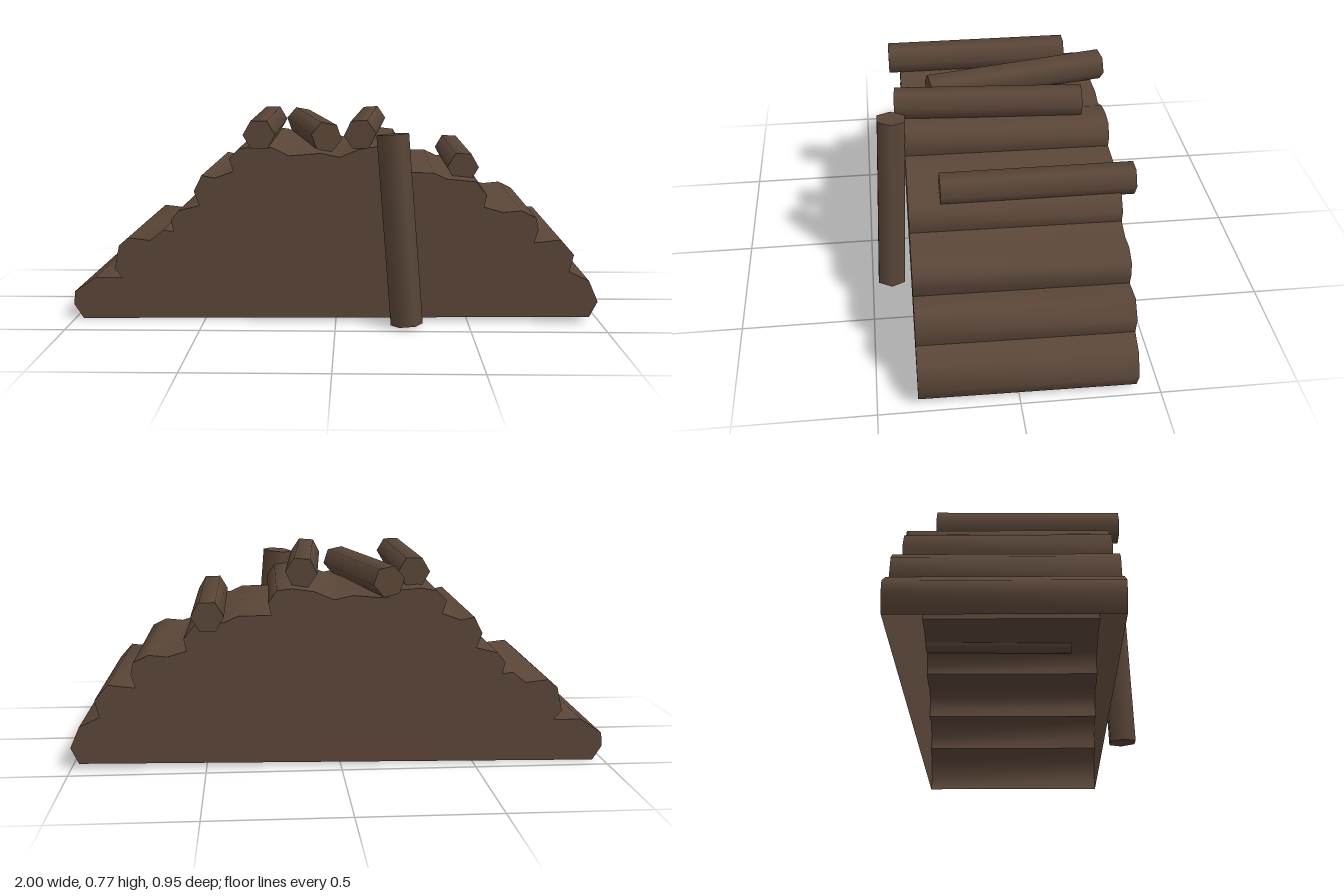
import * as THREE from 'three';
import { toCreasedNormals } from 'three/addons/utils/BufferGeometryUtils.js';

export function createModel() {
  const model = new THREE.Group();
  model.name = 'logPile';
  const bark = new THREE.MeshStandardMaterial({ color: 0x5a4638, side: THREE.DoubleSide });
  bark.name = 'brown bark';

  // Scalloped outline of the stacked logs, from left foot over the top to right foot
  const outline = [
    [-0.965, 0.005], [-1, 0.06], [-0.995, 0.11], [-0.915, 0.165], [-0.81, 0.165],
    [-0.84, 0.2], [-0.82, 0.29], [-0.785, 0.32], [-0.7, 0.31], [-0.65, 0.35], [-0.61, 0.345],
    [-0.62, 0.39], [-0.59, 0.425], [-0.51, 0.445], [-0.53, 0.5], [-0.5, 0.56], [-0.45, 0.55],
    [-0.38, 0.575], [-0.395, 0.625], [-0.36, 0.66], [-0.3, 0.67], [-0.23, 0.665], [-0.17, 0.635],
    [-0.05, 0.645], [0.02, 0.63], [0.09, 0.66], [0.17, 0.672], [0.23, 0.665], [0.26, 0.62],
    [0.25, 0.575], [0.37, 0.573], [0.42, 0.55], [0.53, 0.54], [0.57, 0.49], [0.56, 0.445],
    [0.63, 0.425], [0.7, 0.432], [0.755, 0.405], [0.765, 0.36], [0.75, 0.31], [0.85, 0.322],
    [0.9, 0.265], [0.885, 0.2], [0.96, 0.165], [0.995, 0.085], [0.965, 0.025],
  ];
  const halfDepth = 0.387;

  const pile = new THREE.Group();
  pile.name = 'pile';
  pile.position.z = -0.0425;
  pile.rotation.y = -0.0125;
  model.add(pile);

  // Long rounded sides of the logs: a strip bent along the outline, open underneath
  const strip = new THREE.PlaneGeometry(1, 1, outline.length - 1, 1);
  const pos = strip.attributes.position;
  for (let i = 0; i < pos.count; i++) {
    const [x, y] = outline[i % outline.length];
    pos.setXYZ(i, x, y, i < outline.length ? -halfDepth : halfDepth);
  }
  const sides = new THREE.Mesh(toCreasedNormals(strip, 1.2), bark);
  sides.name = 'stackedLogs';
  pile.add(sides);

  // Flat sawn ends, front and back
  const face = new THREE.ShapeGeometry(new THREE.Shape(outline.map(([x, y]) => new THREE.Vector2(x, y))));
  for (const [name, z] of [['frontEnds', halfDepth], ['backEnds', -halfDepth]]) {
    const end = new THREE.Mesh(face, bark);
    end.name = name;
    end.position.z = z;
    pile.add(end);
  }

  // Loose six-sided logs, each laid between two end points
  const up = new THREE.Vector3(0, 1, 0);
  function addLog(name, from, to, turn) {
    const a = new THREE.Vector3(...from), b = new THREE.Vector3(...to);
    const dir = b.clone().sub(a);
    const geo = new THREE.CylinderGeometry(0.06, 0.06, dir.length(), 6);
    geo.rotateY(turn);
    const log = new THREE.Mesh(geo, bark);
    log.name = name;
    log.position.copy(a).add(b).multiplyScalar(0.5);
    log.quaternion.setFromUnitVectors(up, dir.normalize());
    model.add(log);
  }
  const flat = Math.PI / 6;
  addLog('topLogRight', [-0.283, 0.717, -0.33], [-0.283, 0.717, 0.385], flat);
  addLog('topLogSlanted', [-0.173, 0.7, -0.465], [-0.037, 0.695, 0.237], flat);
  addLog('topLogLeft', [0.14, 0.718, -0.335], [0.09, 0.718, 0.375], flat);
  addLog('sideLog', [0.485, 0.58, -0.475], [0.485, 0.58, 0.235], flat);
  addLog('leaningLog', [0.267, 0.012, 0.425], [0.21, 0.722, 0.393], flat);

  return model;
}
